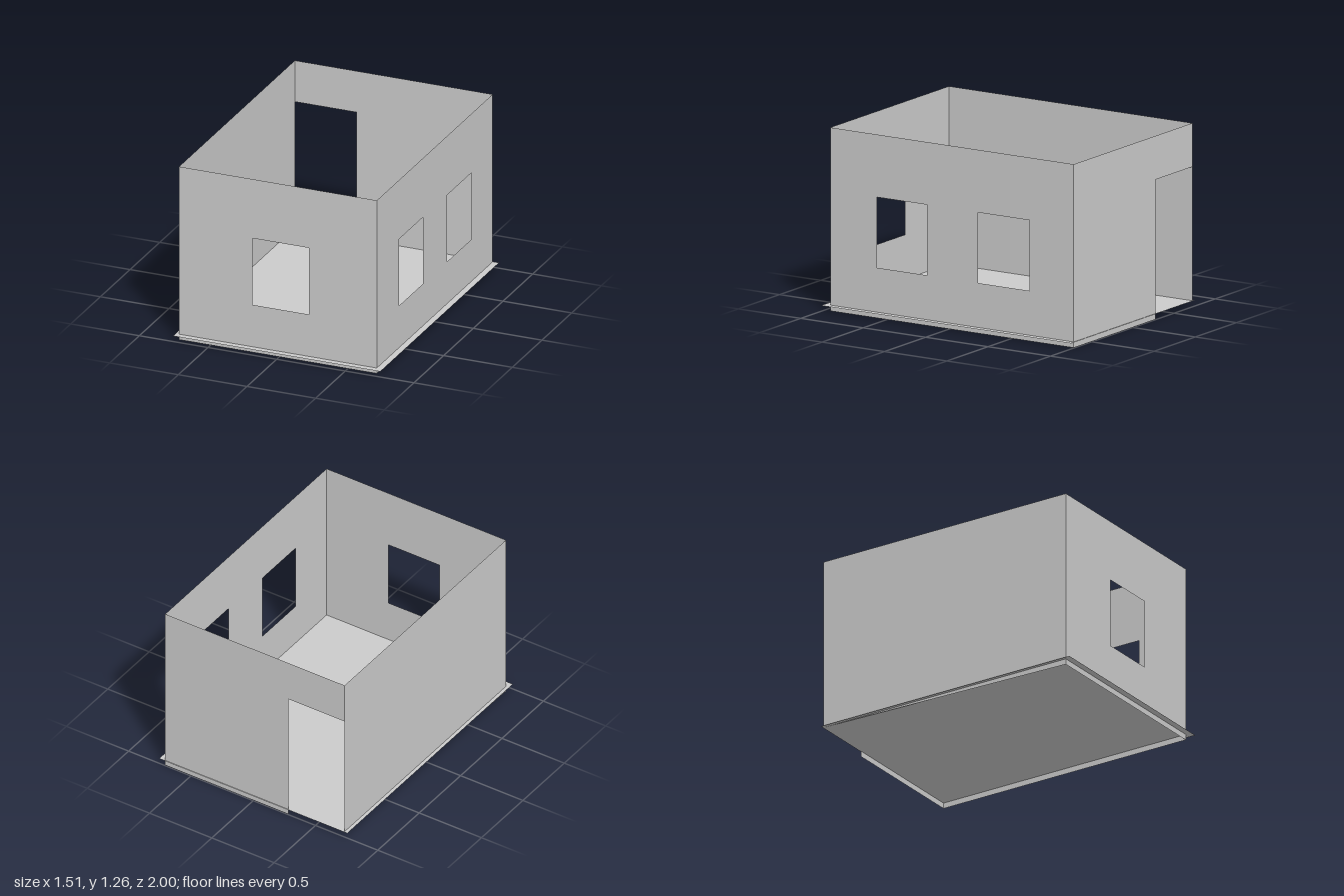
import * as THREE from 'three';

const LEFT = 0.71, RIGHT = -0.73, FRONT = 0.955, BACK = -0.995;
const TOP = 1.26, FLOOR = 0.04, SILL = 0.345, HEAD = 0.83;

const material = new THREE.MeshStandardMaterial({
  color: 0xcccccc, side: THREE.DoubleSide, flatShading: true,
});

const points = (list) => list.map(([x, y]) => new THREE.Vector2(x, y));

// Thin upright panel with optional window openings given as [from, to]
function panel(name, outline, windows = []) {
  const shape = new THREE.Shape(points(outline));
  for (const [a, b] of windows) {
    shape.holes.push(new THREE.Path(points([[a, SILL], [a, HEAD], [b, HEAD], [b, SILL]])));
  }
  const mesh = new THREE.Mesh(new THREE.ShapeGeometry(shape), material);
  mesh.name = name;
  return mesh;
}

// Turn a panel so its width runs along z
function sideways(mesh, x) {
  mesh.rotation.y = -Math.PI / 2;
  mesh.position.x = x;
  return mesh;
}

export function createModel() {
  const house = new THREE.Group();
  house.name = 'roomShell';

  // Front wall with one window
  const frontWall = panel('frontWall',
    [[RIGHT, 0], [LEFT, 0], [LEFT, TOP], [RIGHT, TOP]], [[-0.195, 0.215]]);
  frontWall.position.z = FRONT;

  // Back wall with a doorway cut out at its corner
  const doorEdge = -0.28, doorTop = 0.96;
  const backWall = panel('backWall', [
    [doorEdge, 0], [LEFT, 0], [LEFT, TOP], [RIGHT, TOP], [RIGHT, doorTop], [doorEdge, doorTop],
  ]);
  backWall.position.z = BACK;

  // Side wall with two windows
  const windowWall = sideways(panel('windowWall',
    [[BACK, 0], [FRONT, 0], [FRONT, TOP], [BACK, TOP]],
    [[0.18, 0.58], [-0.64, -0.23]]), LEFT);

  // Plain side wall; its foot rises to floor level beside the doorway
  const plainWall = sideways(panel('plainWall',
    [[BACK, FLOOR], [FRONT, 0], [FRONT, TOP], [BACK, TOP]]), RIGHT);

  // Floor sheet, slightly wider than the walls
  const floor = new THREE.Mesh(new THREE.PlaneGeometry(1.51, 2), material);
  floor.name = 'floor';
  floor.rotation.x = -Math.PI / 2;
  floor.position.y = FLOOR;

  house.add(frontWall, backWall, windowWall, plainWall, floor);
  return house;
}
